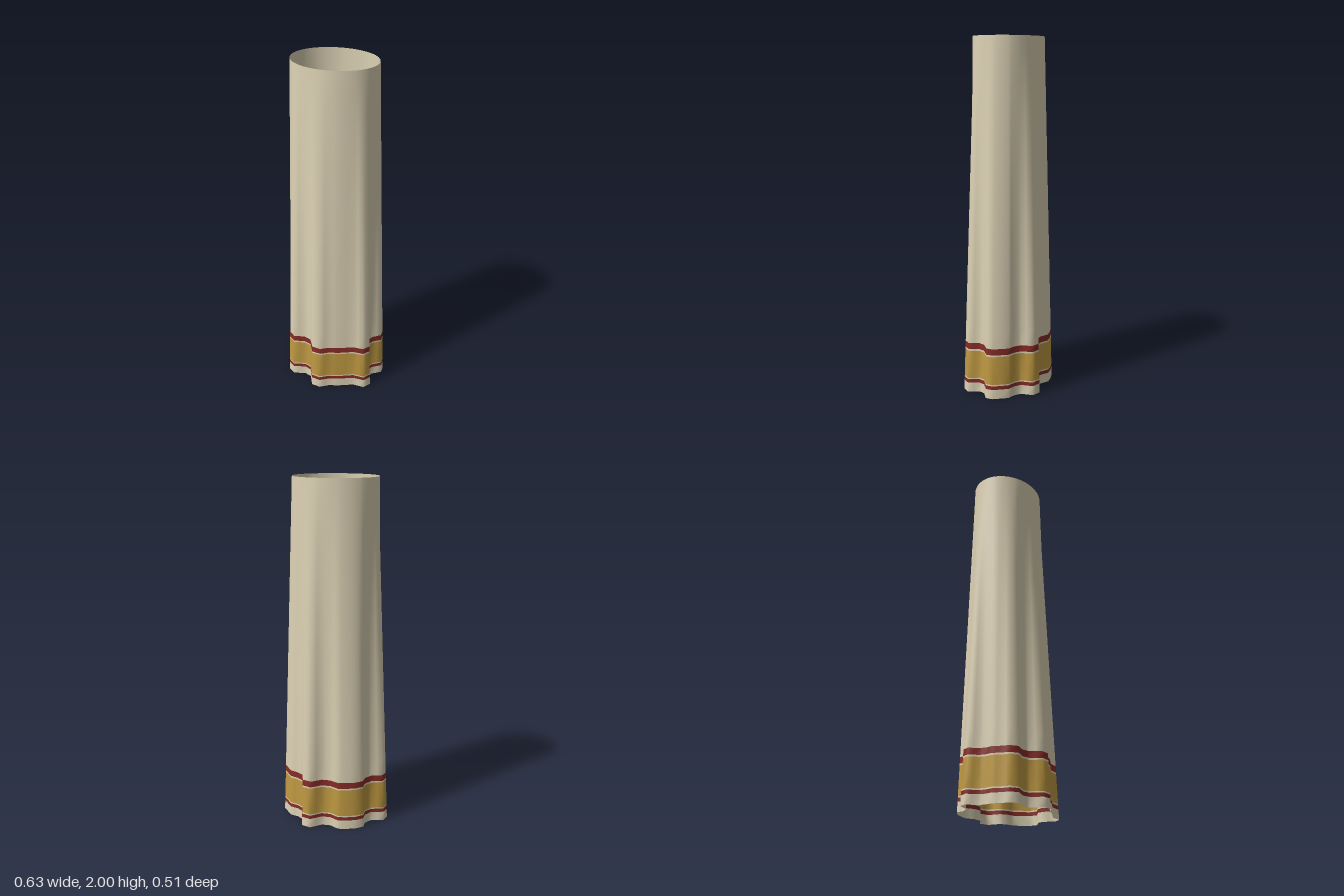
import * as THREE from 'three';

const HEIGHT = 2;

// Pleated hem outline as x, z pairs, running from +x round through +z
const HEM = [
  0.315, -0.01, 0.263, 0.027, 0.251, 0.063, 0.283, 0.121, 0.254, 0.161, 0.187, 0.161,
  0.101, 0.202, 0.049, 0.218, 0.001, 0.252, -0.053, 0.246, -0.087, 0.18, -0.129, 0.166,
  -0.199, 0.187, -0.24, 0.157, -0.249, 0.111, -0.269, 0.068, -0.263, 0.027, -0.272, -0.009,
  -0.317, -0.055, -0.301, -0.096, -0.228, -0.111, -0.196, -0.147, -0.192, -0.193,
  -0.151, -0.221, -0.097, -0.236, -0.049, -0.242, 0.001, -0.212, 0.051, -0.211,
  0.115, -0.255, 0.167, -0.236, 0.178, -0.168, 0.212, -0.141, 0.26, -0.125, 0.313, -0.052,
];

// Oval rim at the top
const RIM = { x: 0.003, z: -0.007, rx: 0.238, rz: 0.188 };

// Matching columns: a hem point and the rim point in the same direction
function makeColumns() {
  const columns = [];
  const count = HEM.length / 2;
  const splits = 2;
  for (let i = 0; i < count; i++) {
    const k = (i + 1) % count;
    for (let s = 0; s < splits; s++) {
      const t = s / splits;
      const x = THREE.MathUtils.lerp(HEM[2 * i], HEM[2 * k], t);
      const z = THREE.MathUtils.lerp(HEM[2 * i + 1], HEM[2 * k + 1], t);
      const a = Math.atan2((z - RIM.z) / RIM.rz, (x - RIM.x) / RIM.rx);
      columns.push({
        hem: new THREE.Vector3(x, 0, z),
        rim: new THREE.Vector3(RIM.x + RIM.rx * Math.cos(a), HEIGHT, RIM.z + RIM.rz * Math.sin(a)),
      });
    }
  }
  return columns;
}

// One ring of cloth between two heights
function bandGeometry(columns, y0, y1) {
  const rows = Math.max(1, Math.ceil((y1 - y0) / 0.1));
  const n = columns.length;
  const positions = [];
  const index = [];
  const p = new THREE.Vector3();
  for (let r = 0; r <= rows; r++) {
    const t = THREE.MathUtils.lerp(y0, y1, r / rows) / HEIGHT;
    for (const c of columns) {
      p.lerpVectors(c.hem, c.rim, t);
      positions.push(p.x, p.y, p.z);
    }
  }
  for (let r = 0; r < rows; r++) {
    for (let i = 0; i < n; i++) {
      const a = r * n + i;
      const b = r * n + (i + 1) % n;
      index.push(a, a + n, b, b, a + n, b + n);
    }
  }
  const geometry = new THREE.BufferGeometry();
  geometry.setAttribute('position', new THREE.Float32BufferAttribute(positions, 3));
  geometry.setIndex(index);
  geometry.computeVertexNormals();
  return geometry;
}

function material(name, color) {
  const m = new THREE.MeshStandardMaterial({ color, side: THREE.DoubleSide });
  m.name = name;
  return m;
}

export function createModel() {
  const group = new THREE.Group();
  group.name = 'pleatedSleeve';

  const cream = material('cream cloth', 0xddd2b5);
  const red = material('dark red trim', 0x872c26);
  const gold = material('gold trim', 0xc09a42);

  // Bands from hem to rim: name, lower and upper height, material
  const bands = [
    ['hem', 0, 0.054, cream],
    ['lowerRedStripe', 0.054, 0.075, red],
    ['lowerGap', 0.075, 0.083, cream],
    ['goldBand', 0.083, 0.246, gold],
    ['upperGap', 0.246, 0.256, cream],
    ['upperRedStripe', 0.256, 0.292, red],
    ['body', 0.292, HEIGHT, cream],
  ];

  const columns = makeColumns();
  for (const [name, y0, y1, mat] of bands) {
    const mesh = new THREE.Mesh(bandGeometry(columns, y0, y1), mat);
    mesh.name = name;
    group.add(mesh);
  }
  return group;
}
